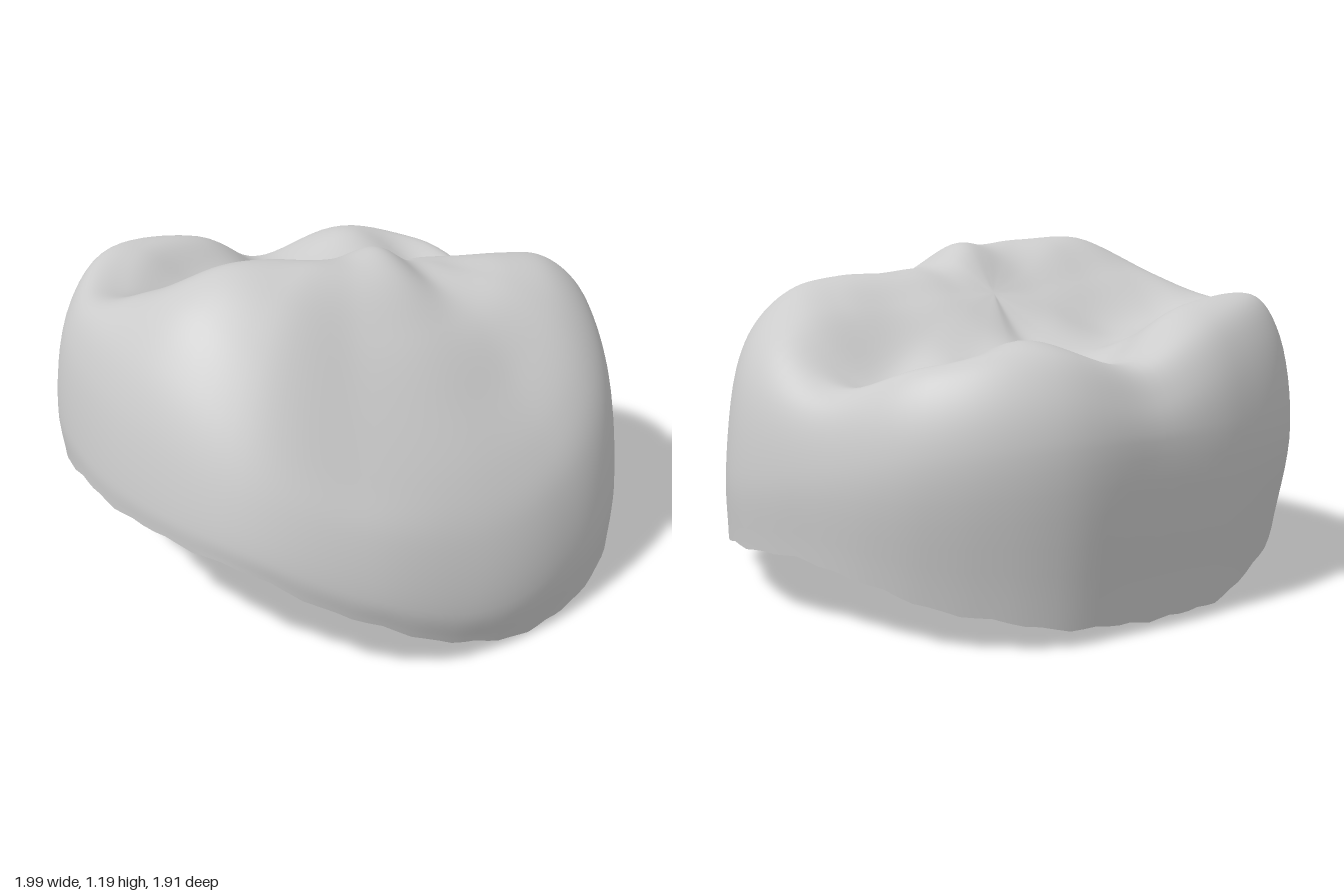
import * as THREE from 'three';

// All rows hold 16 values around the crown, from +x through the front (+z).
const outline = [0.995, 0.945, 0.98, 0.95, 0.952, 0.985, 1.02, 1.01, 0.995, 1.03, 1.045, 0.965, 0.935, 1.02, 1.035, 0.97];
const widestY = [0.45, 0.4, 0.3, 0.2, 0.18, 0.32, 0.49, 0.55, 0.56, 0.55, 0.55, 0.58, 0.6, 0.6, 0.55, 0.5];
const rimY = [0.22, 0.16, 0.08, 0.005, 0.06, 0.23, 0.42, 0.47, 0.46, 0.36, 0.19, 0.04, 0.03, 0.07, 0.14, 0.22];
const rimScale = [0.99, 1, 0.99, 0.98, 0.98, 0.99, 1, 1, 1, 0.98, 0.95, 0.94, 0.94, 0.94, 0.94, 0.98];

// Chewing-surface heights on rings at these fractions of the outline.
const fractions = [0.2, 0.4, 0.58, 0.74, 0.87, 0.95];
const heights = [
  [1.0, 1.05, 1.09, 1.13, 1.15, 1.14, 1.11, 1.06, 1.0, 0.95, 0.91, 0.87, 0.85, 0.87, 0.9, 0.95],
  [0.97, 1.06, 1.07, 1.08, 1.13, 1.15, 1.18, 1.16, 1.03, 0.89, 0.84, 0.82, 0.8, 0.81, 0.81, 0.87],
  [0.97, 1.06, 1.04, 0.98, 0.98, 1.01, 1.13, 1.185, 1.06, 0.9, 0.9, 0.88, 0.8, 0.84, 0.82, 0.79],
  [0.95, 1.03, 0.95, 0.8, 0.78, 0.83, 1.0, 1.11, 1.05, 0.95, 1.0, 0.97, 0.82, 0.88, 0.83, 0.75],
  [0.87, 0.93, 0.81, 0.63, 0.59, 0.65, 0.83, 0.96, 0.97, 0.96, 1.0, 0.94, 0.81, 0.87, 0.85, 0.75],
  [0.74, 0.78, 0.64, 0.47, 0.42, 0.52, 0.67, 0.79, 0.82, 0.85, 0.88, 0.83, 0.73, 0.78, 0.76, 0.69],
];
const centreY = 1.0;

// Local grooves and cusps: x, z, radius in x, radius in z, height.
const details = [
  [0.13, 0.22, 0.07, 0.17, -0.02], // front groove
  [-0.02, 0.22, 0.09, 0.12, 0.015], // middle front cusp
  [-0.05, -0.58, 0.07, 0.16, -0.02], // back groove
  [0.36, -0.66, 0.12, 0.13, 0.03], // back left cusp
  [0.56, -0.45, 0.1, 0.18, -0.045], // pit beside it
];

// Smooth periodic interpolation of a row at turn t in 0..1.
function around(row, t) {
  const n = row.length, s = t * n, i = Math.floor(s), f = s - i;
  const p = (k) => row[(i + k + n) % n];
  const a = p(-1), b = p(0), c = p(1), d = p(2);
  return b + 0.5 * f * (c - a + f * (2 * a - 5 * b + 4 * c - d + f * (3 * (b - c) + d - a)));
}

function detailAt(x, z) {
  return details.reduce((sum, [cx, cz, rx, rz, h]) =>
    sum + h * Math.exp(-(((x - cx) / rx) ** 2) - ((z - cz) / rz) ** 2), 0);
}

// Section from the middle of the chewing surface, over the cusps, down to the rim.
function section(t) {
  const r = around(outline, t), rim = around(rimY, t);
  const jag = 0.004 * (Math.sin(t * Math.PI * 74) + Math.sin(t * Math.PI * 34));
  const points = [new THREE.Vector3(0, centreY, 0)];
  fractions.forEach((f, k) => points.push(new THREE.Vector3(r * f, around(heights[k], t), 0)));
  points.push(new THREE.Vector3(r, around(widestY, t), 0));
  points.push(new THREE.Vector3(r * around(rimScale, t), Math.max(0, rim + jag), 0));
  return new THREE.CatmullRomCurve3(points, false, 'centripetal');
}

function crownGeometry(turns = 128, down = 54) {
  const positions = [0, centreY + detailAt(0, 0), 0], index = [];
  for (let i = 0; i < turns; i++) {
    const curve = section(i / turns), angle = (i / turns) * Math.PI * 2;
    for (let j = 1; j <= down; j++) {
      const p = curve.getPoint(j / down);
      const x = p.x * Math.cos(angle), z = p.x * Math.sin(angle);
      // Details fade out below the cusps.
      const fade = THREE.MathUtils.smoothstep(p.y, 0.55, 0.75);
      positions.push(x, p.y + fade * detailAt(x, z), z);
    }
  }
  const id = (i, j) => 1 + (i % turns) * down + j;
  for (let i = 0; i < turns; i++) {
    index.push(0, id(i + 1, 0), id(i, 0));
    for (let j = 0; j < down - 1; j++) {
      const a = id(i, j), b = id(i + 1, j), c = id(i + 1, j + 1), d = id(i, j + 1);
      index.push(a, b, c, a, c, d);
    }
  }
  const geometry = new THREE.BufferGeometry();
  geometry.setAttribute('position', new THREE.Float32BufferAttribute(positions, 3));
  geometry.setIndex(index);
  geometry.computeVertexNormals();
  return geometry;
}

export function createModel() {
  const model = new THREE.Group();
  model.name = 'molarCrown';
  // Thin shell, open underneath.
  const material = new THREE.MeshStandardMaterial({ color: 0xcccccc, side: THREE.DoubleSide });
  const crown = new THREE.Mesh(crownGeometry(), material);
  crown.name = 'crownShell';
  model.add(crown);
  return model;
}
